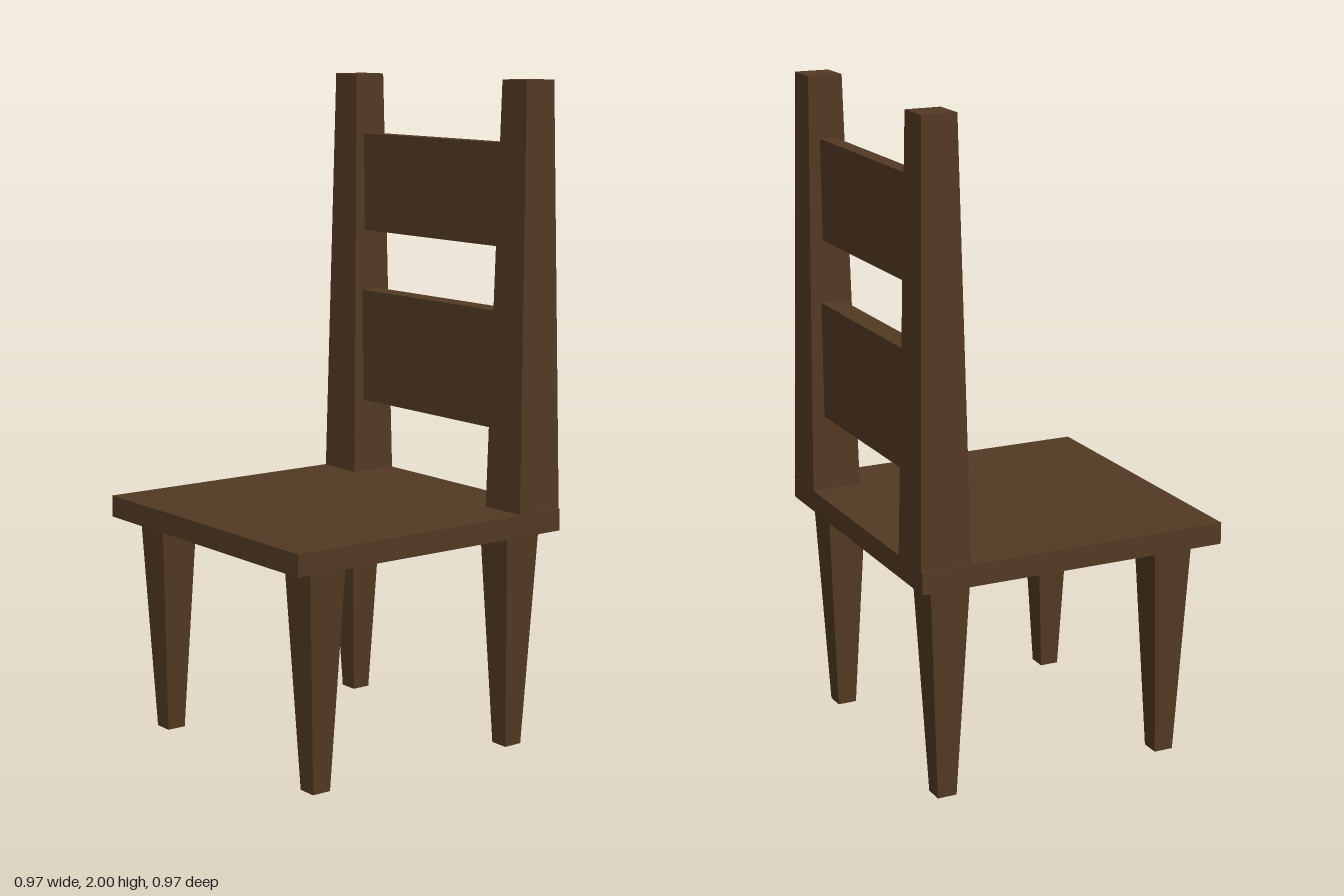
import * as THREE from 'three';

// Square post whose width changes from bottom to top
function taperedBox(bottomWidth, topWidth, y0, y1) {
  const geo = new THREE.BoxGeometry(1, y1 - y0, 1);
  geo.translate(0, (y0 + y1) / 2, 0);
  const p = geo.attributes.position;
  const middle = (y0 + y1) / 2;
  for (let i = 0; i < p.count; i++) {
    const w = p.getY(i) > middle ? topWidth : bottomWidth;
    p.setX(i, p.getX(i) * w);
    p.setZ(i, p.getZ(i) * w);
  }
  geo.computeVertexNormals();
  return geo;
}

export function createModel() {
  const chair = new THREE.Group();
  chair.name = 'chair';
  const wood = new THREE.MeshStandardMaterial({ color: 0x533a23 });
  wood.name = 'dark wood';

  function add(name, geo, x, y, z) {
    const mesh = new THREE.Mesh(geo, wood);
    mesh.name = name;
    mesh.position.set(x, y, z);
    chair.add(mesh);
  }

  const seatBottom = 0.667, seatTop = 0.733, backZ = -0.407;

  // Seat slab
  add('seat', new THREE.BoxGeometry(0.966, seatTop - seatBottom, 0.966), 0, (seatBottom + seatTop) / 2, 0);

  // Legs narrow towards the floor, back posts narrow towards the top
  const leg = taperedBox(0.06, 0.123, 0, seatBottom);
  const post = taperedBox(0.154, 0.106, seatTop, 2);
  for (const [side, s] of [['left', 1], ['right', -1]]) {
    add(side + 'FrontLeg', leg, s * 0.377, 0, 0.347);
    add(side + 'BackLeg', leg, s * 0.377, 0, -0.377);
    add(side + 'BackPost', post, s * 0.4, 0, backZ);
  }

  // Backrest rails, ending inside the posts
  add('upperRail', new THREE.BoxGeometry(0.72, 0.305, 0.048), 0, 1.662, -0.405);
  add('lowerRail', new THREE.BoxGeometry(0.7, 0.355, 0.07), 0, 1.142, -0.405);

  return chair;
}
